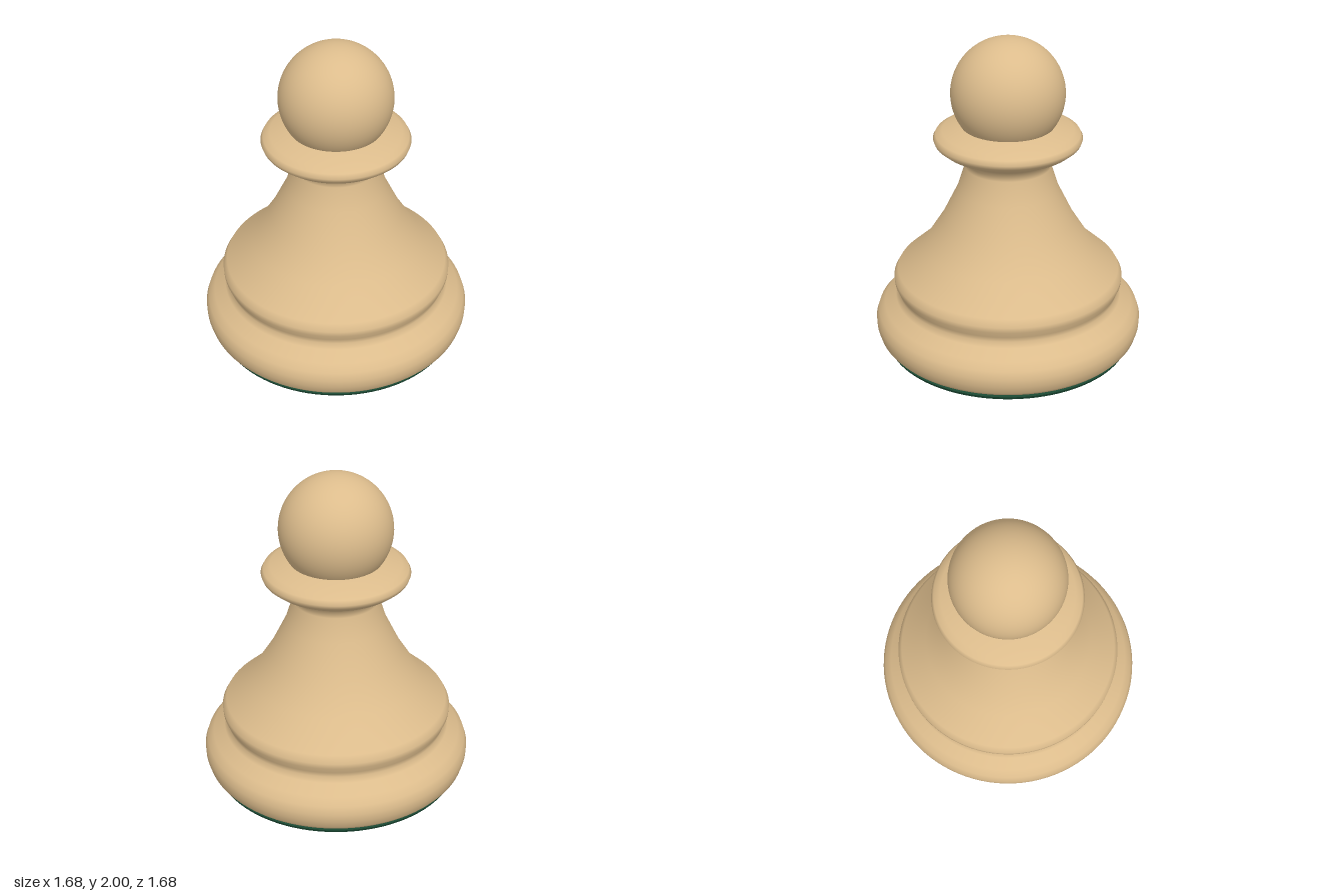
import * as THREE from 'three';

export function createModel() {
  const group = new THREE.Group();
  const wood = new THREE.MeshStandardMaterial({ color: 0xdcbc8c });
  wood.name = 'light wood';
  const felt = new THREE.MeshStandardMaterial({ color: 0x1b4a34 });
  felt.name = 'green felt';

  const add = (name, geometry, material, y = 0) => {
    const mesh = new THREE.Mesh(geometry, material);
    mesh.name = name;
    mesh.position.y = y;
    group.add(mesh);
  };
  const lathe = (profile) =>
    new THREE.LatheGeometry(profile.map(([r, y]) => new THREE.Vector2(r, y)), 96);

  // Turned body: rounded foot, groove, bead, tapering stem, neck and collar
  add('body', lathe([
    [0, 0.022], [0.6, 0.028], [0.77, 0.038], [0.805, 0.046], [0.825, 0.07],
    [0.84, 0.12], [0.842, 0.17], [0.825, 0.22], [0.785, 0.262],
    [0.715, 0.315], [0.692, 0.345], [0.7, 0.38],
    [0.718, 0.42], [0.72, 0.455], [0.695, 0.5],
    [0.53, 0.65], [0.41, 0.84], [0.312, 1.04], [0.265, 1.19],
    [0.27, 1.227], [0.3, 1.262], [0.405, 1.315],
    [0.445, 1.348], [0.455, 1.375], [0.44, 1.403], [0.4, 1.422],
    [0.29, 1.455], [0.24, 1.46],
  ]), wood);

  // Ball on top, sunk into the collar
  add('head', new THREE.SphereGeometry(0.346, 64, 40), wood, 1.654);

  // Thin felt pad under the foot
  add('feltPad', new THREE.CylinderGeometry(0.79, 0.78, 0.02, 96), felt, 0.01);

  return group;
}
